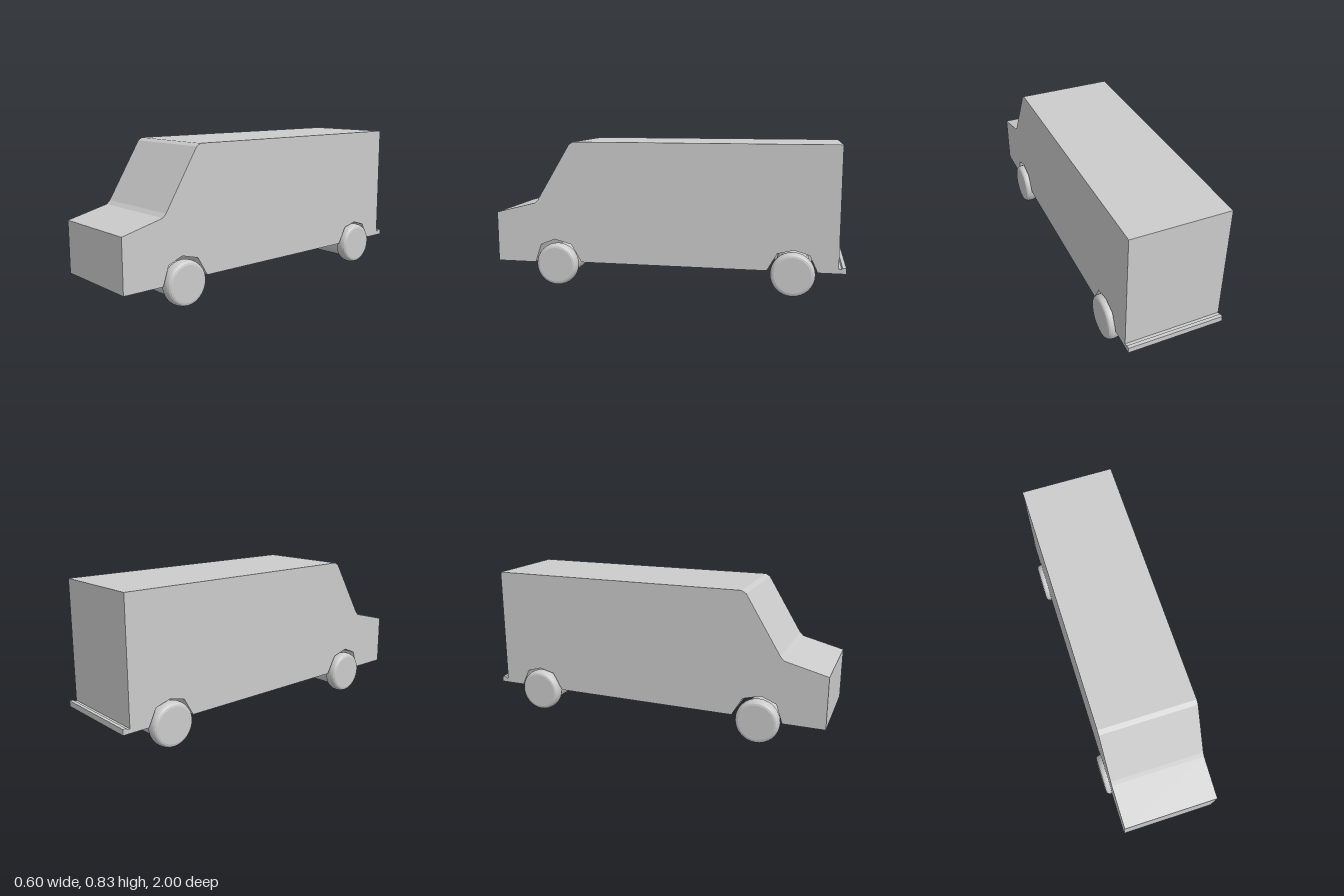
import * as THREE from 'three';
import { toCreasedNormals } from 'three/addons/utils/BufferGeometryUtils.js';

const material = new THREE.MeshStandardMaterial({ color: 0xcccccc });

const BODY_WIDTH = 0.54;
const AXLE_Y = 0.124;
const AXLES = { front: 0.635, rear: -0.715 };

function addMesh(parent, name, geometry) {
  const mesh = new THREE.Mesh(geometry, material);
  mesh.name = name;
  parent.add(mesh);
  return mesh;
}

// Van body: side profile as (z, y), with faceted wheel arches and a rear step
function bodyGeometry() {
  const profile = [
    [1, 0.13], [1, 0.42],                                   // nose
    [0.765, 0.48], [0.745, 0.5],                            // bonnet
    [0.55, 0.82], [0.525, 0.835],                           // windscreen
    [-0.96, 0.835], [-0.96, 0.165],                         // roof and back
    [-0.975, 0.165], [-0.98, 0.172], [-1, 0.172], [-1, 0.14], // rear step
    [-0.85, 0.14], [-0.805, 0.235], [-0.72, 0.26], [-0.63, 0.238], [-0.575, 0.14], // rear arch
    [0.49, 0.14], [0.55, 0.243], [0.65, 0.27], [0.735, 0.235], [0.77, 0.13],       // front arch
  ];
  const shape = new THREE.Shape(profile.map(([z, y]) => new THREE.Vector2(-z, y)));
  const geometry = new THREE.ExtrudeGeometry(shape, { depth: BODY_WIDTH, bevelEnabled: false });
  geometry.translate(0, 0, -BODY_WIDTH / 2);
  geometry.rotateY(Math.PI / 2); // shape x becomes -z, depth becomes x
  return geometry;
}

// Closed wheel with rounded shoulders and flat faces, axis along x
function wheelGeometry() {
  const half = 0.038;
  const shoulder = [[0.1, half], [0.11, 0.035], [0.117, 0.028], [0.121, 0.018], [0.123, 0.006]];
  const points = [
    [0, -half],
    ...shoulder.map(([r, h]) => [r, -h]),
    ...[...shoulder].reverse(),
    [0, half],
  ].map(([r, h]) => new THREE.Vector2(r, h));
  const geometry = new THREE.LatheGeometry(points, 32);
  geometry.rotateZ(Math.PI / 2);
  return toCreasedNormals(geometry, 0.28);
}

export function createModel() {
  const model = new THREE.Group();
  model.name = 'van';
  addMesh(model, 'body', bodyGeometry());

  // Thick axle drum with a wheel at each end
  const wheel = wheelGeometry();
  const axle = new THREE.CylinderGeometry(0.095, 0.095, 0.47, 32);
  axle.rotateZ(Math.PI / 2);
  for (const [end, z] of Object.entries(AXLES)) {
    const wheelset = new THREE.Group();
    wheelset.name = `${end}Wheelset`;
    wheelset.position.set(0, AXLE_Y, z);
    addMesh(wheelset, `${end}Axle`, axle);
    for (const [side, sign] of [['Left', 1], ['Right', -1]]) {
      addMesh(wheelset, `${end}${side}Wheel`, wheel).position.x = sign * 0.262;
    }
    model.add(wheelset);
  }
  return model;
}
